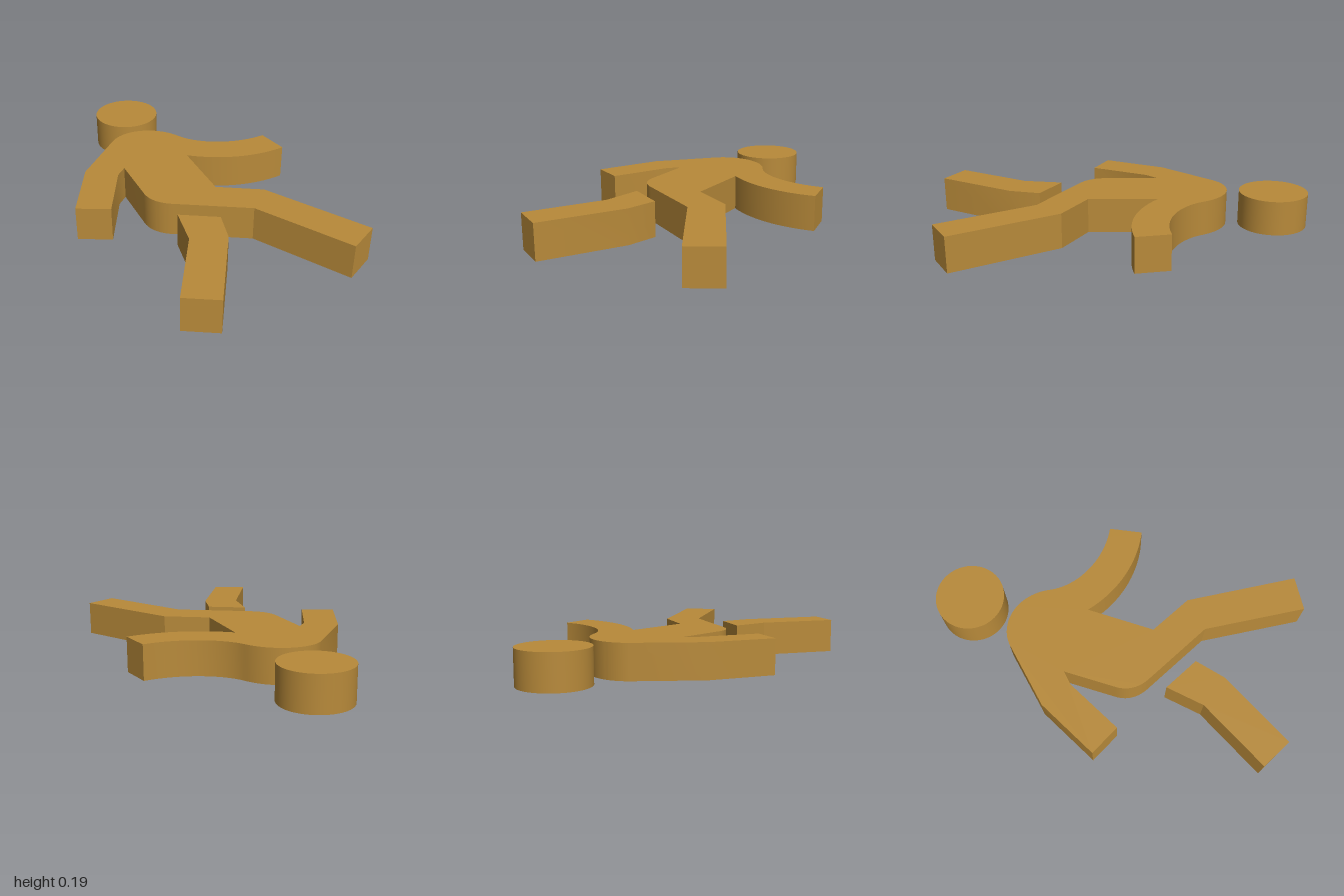
import * as THREE from 'three';
import { toCreasedNormals } from 'three/addons/utils/BufferGeometryUtils.js';

const HEIGHT = 0.187;
const material = new THREE.MeshStandardMaterial({ color: 0xb88a3a });

// Outline steps are [x, z] lines or [x1, z1, x2, z2, x, z] curves, seen from above.
function slab(name, steps) {
  const shape = new THREE.Shape();
  steps.forEach((s, i) => {
    const p = s.map((v, k) => (k % 2 ? -v : v));
    if (i === 0) shape.moveTo(...p);
    else if (p.length === 2) shape.lineTo(...p);
    else shape.bezierCurveTo(...p);
  });
  const extruded = new THREE.ExtrudeGeometry(shape, { depth: HEIGHT, bevelEnabled: false, curveSegments: 20 });
  extruded.rotateX(-Math.PI / 2);
  const mesh = new THREE.Mesh(toCreasedNormals(extruded, 0.35), material);
  mesh.name = name;
  return mesh;
}

export function createModel() {
  const group = new THREE.Group();
  group.name = 'walkingFigure';

  // Head disc
  const head = new THREE.Mesh(new THREE.CylinderGeometry(0.186, 0.186, HEIGHT, 64), material);
  head.name = 'head';
  head.position.set(0.125, HEIGHT / 2, -0.814);
  group.add(head);

  // Torso with both arms and the leading leg
  group.add(slab('body', [
    [-0.12, -0.55],
    // bent trailing arm
    [-0.425, -0.325], [-0.64, -0.03], [-0.493, 0.077], [-0.295, -0.195], [-0.23, -0.24],
    // back and hip
    [-0.278, 0.04], [-0.29, 0.105, -0.265, 0.165, -0.21, 0.21],
    // leading leg
    [0.107, 0.475], [0.295, 0.997], [0.47, 0.935], [0.262, 0.365], [0.067, 0.2],
    // curved leading arm
    [0.135, -0.165], [0.26, -0.02, 0.44, 0.067, 0.64, 0.067],
    [0.64, -0.113], [0.45, -0.115, 0.27, -0.235, 0.225, -0.385],
    // shoulders
    [0.19, -0.51, 0.09, -0.582, -0.01, -0.582],
    [-0.05, -0.582, -0.085, -0.573, -0.12, -0.55],
  ]));

  // Separate trailing leg
  group.add(slab('trailingLeg', [
    [-0.245, 0.305], [-0.315, 0.507], [-0.593, 0.84],
    [-0.45, 0.957], [-0.15, 0.6], [-0.08, 0.443],
  ]));

  return group;
}
